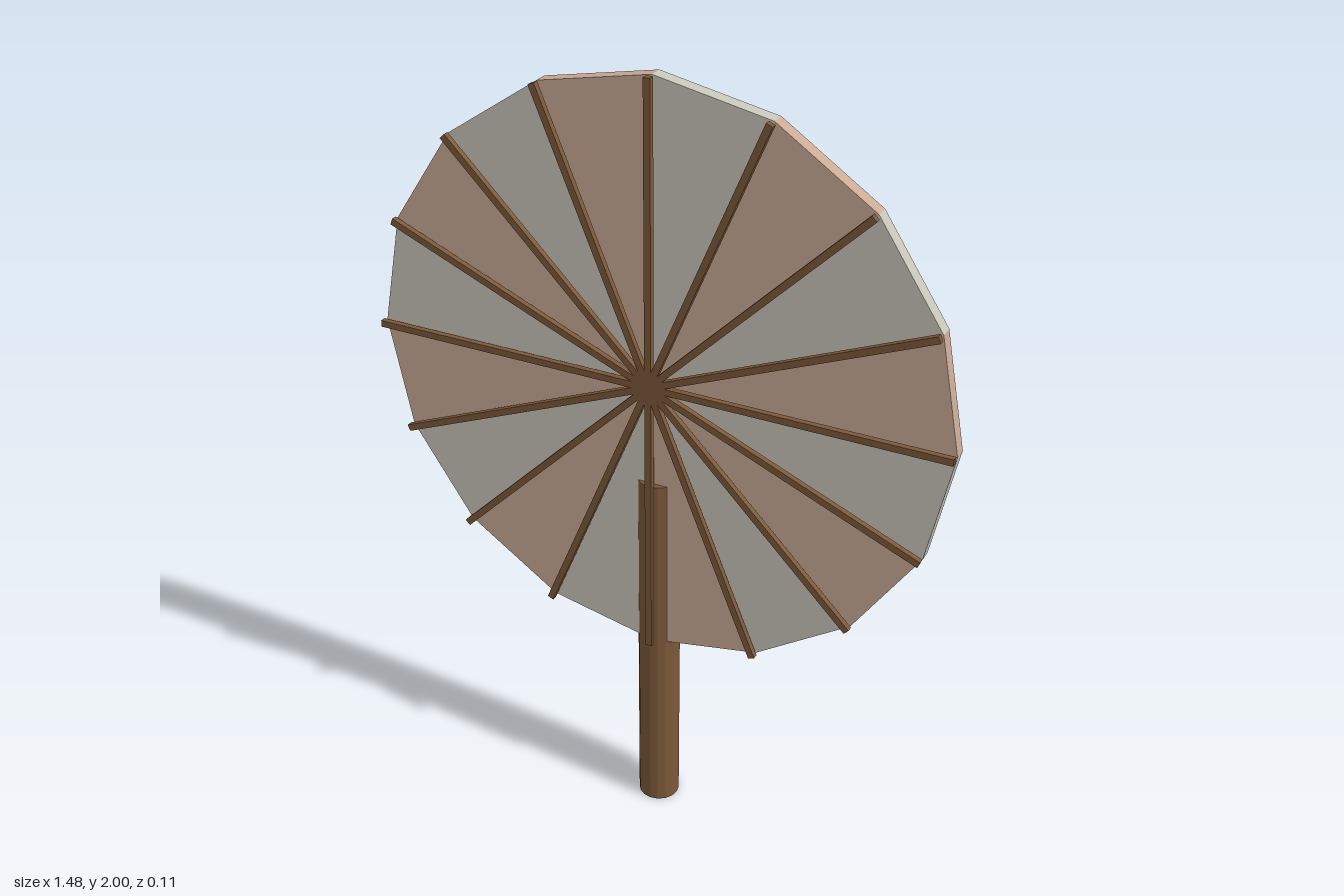
import * as THREE from 'three';

const SIDES = 16, RADIUS = 0.742, HUB_Y = 1.258;
const STEP = (Math.PI * 2) / SIDES;

function material(name, color) {
  const m = new THREE.MeshStandardMaterial({ color, flatShading: true });
  m.name = name;
  return m;
}

export function createModel() {
  const model = new THREE.Group();
  model.name = 'paperFan';
  const wood = material('wood', 0x7b5839);
  const paper = [material('pinkPaper', 0xc9aa95), material('greyPaper', 0xc8c5ba)];

  function add(parent, name, geometry, mat, x, y, z) {
    const mesh = new THREE.Mesh(geometry, mat);
    mesh.name = name;
    mesh.position.set(x, y, z);
    parent.add(mesh);
    return mesh;
  }

  // Handle, rising behind and partly through the disc
  add(model, 'handle', new THREE.CylinderGeometry(0.053, 0.053, 0.985, 16), wood, 0, 0.4925, -0.004);

  // Disc of alternating wedges, counted from the bottom towards +x
  const disc = new THREE.Group();
  disc.name = 'disc';
  disc.position.set(0, HUB_Y, 0.0135);
  model.add(disc);
  for (let i = 0; i < SIDES; i++) {
    const wedge = new THREE.CylinderGeometry(RADIUS, RADIUS, 0.035, 1, 1, false, i * STEP, STEP);
    wedge.rotateX(Math.PI / 2);
    add(disc, 'wedge' + (i + 1), wedge, paper[i % 2], 0, 0, 0);
  }

  // Ribs just in front of the disc, each spanning a full diameter
  const ribs = new THREE.Group();
  ribs.name = 'ribs';
  ribs.position.set(0, HUB_Y, 0.0495);
  model.add(ribs);
  const ribShape = new THREE.BoxGeometry(RADIUS * 2, 0.017, 0.015);
  for (let i = 0; i < SIDES / 2; i++) {
    add(ribs, 'rib' + (i + 1), ribShape, wood, 0, 0, 0).rotation.z = i * STEP;
  }
  return model;
}
